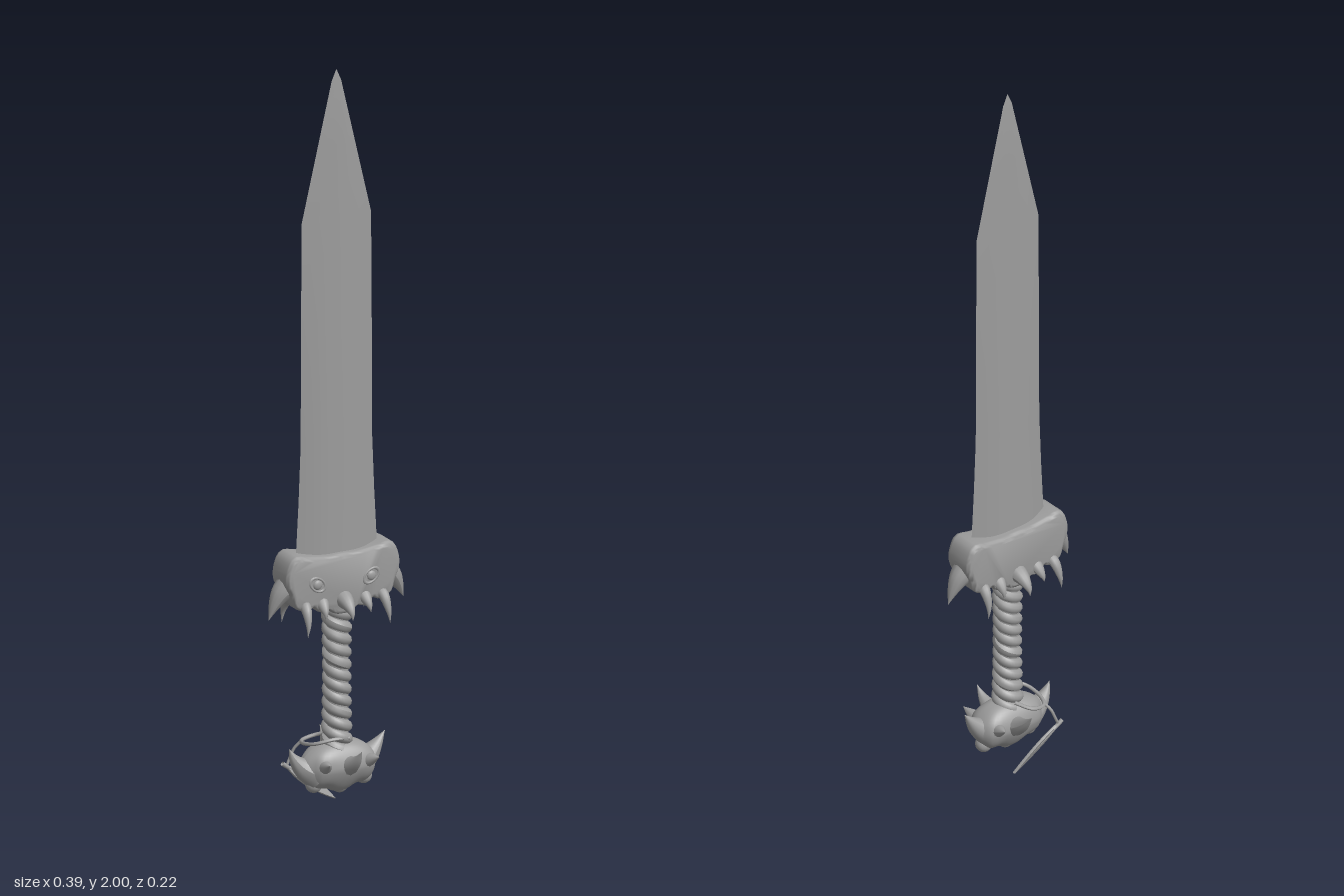
import * as THREE from 'three';
import { toCreasedNormals } from 'three/addons/utils/BufferGeometryUtils.js';

const CZ = 0.006; // depth of the sword's middle plane
const material = new THREE.MeshStandardMaterial({ color: 0x9c9c9c, side: THREE.DoubleSide });
const v = (p) => new THREE.Vector3(...p);

function add(group, name, geometry) {
  const mesh = new THREE.Mesh(geometry, material);
  mesh.name = name;
  group.add(mesh);
  return mesh;
}

// Tube along a smooth path whose radius follows a rule of t (0..1)
function taperTube(points, radius, steps = 12, sides = 12) {
  const curve = new THREE.CatmullRomCurve3(points.map(v));
  const geo = new THREE.TubeGeometry(curve, steps, 1, sides);
  const pos = geo.attributes.position, p = new THREE.Vector3();
  for (let i = 0; i <= steps; i++) {
    const c = curve.getPointAt(i / steps), r = radius(i / steps);
    for (let j = 0; j <= sides; j++) {
      const k = i * (sides + 1) + j;
      p.fromBufferAttribute(pos, k).sub(c).multiplyScalar(r).add(c);
      pos.setXYZ(k, p.x, p.y, p.z);
    }
  }
  geo.computeVertexNormals();
  return geo;
}

// Pointed horn; a higher swell gives a rounder one
const horn = (points, r, swell = 1.5) =>
  taperTube(points, (t) => Math.max(0.0004, r * (1 - Math.pow(t, swell))));

// Blade: lens-shaped cross-sections lofted from guard to tip
function bladeGeometry() {
  const section = [[1, 0], [0.62, 0.72], [0.3, 0.92], [0, 1], [-0.3, 0.92], [-0.62, 0.72],
    [-1, 0], [-0.62, -0.72], [-0.3, -0.92], [0, -1], [0.3, -0.92], [0.62, -0.72]];
  const levels = [[0.66, 0.119, 0.024], [0.72, 0.117, 0.023], [0.85, 0.11, 0.021], [1.0, 0.104, 0.019],
    [1.3, 0.103, 0.014], [1.6, 0.101, 0.009], [1.8, 0.054, 0.006], [1.97, 0.014, 0.003], [2.0, 0.001, 0.0005]];
  const n = section.length, pos = [], idx = [];
  levels.forEach(([y, w, t], i) => section.forEach(([x, z], j) => {
    pos.push(x * w, y, 0.008 + z * t);
    if (i === levels.length - 1) return;
    const a = i * n + j, b = i * n + (j + 1) % n;
    idx.push(a, a + n, b, b, a + n, b + n);
  }));
  const geo = new THREE.BufferGeometry();
  geo.setAttribute('position', new THREE.Float32BufferAttribute(pos, 3));
  geo.setIndex(idx);
  return toCreasedNormals(geo, 0.5);
}

// Guard: monster-head outline with a scalloped lower edge
function guardGeometry() {
  const half = [[0, 0.692], [0.05, 0.691], [0.1, 0.697], [0.135, 0.702], [0.15, 0.675], [0.152, 0.645], [0.14, 0.615],
    [0.13, 0.585], [0.105, 0.575], [0.085, 0.583], [0.062, 0.565], [0.04, 0.568], [0.02, 0.555], [0, 0.552]];
  const left = half.slice(1, -1).reverse().map(([x, y]) => [-x, y]);
  const outline = new THREE.SplineCurve([...half, ...left, half[0]].map((p) => new THREE.Vector2(...p)));
  const geo = new THREE.ExtrudeGeometry(new THREE.Shape(outline.getPoints(90)), {
    depth: 0.064, bevelThickness: 0.014, bevelSize: 0.012, bevelSegments: 4 });
  geo.translate(0, 0, CZ - 0.032);
  return toCreasedNormals(geo, 0.9);
}

// Pommel: squarish ellipsoid with soft lumps
function pommelGeometry() {
  const geo = new THREE.SphereGeometry(1, 40, 28), pos = geo.attributes.position;
  const soft = (a) => Math.sign(a) * Math.pow(Math.abs(a), 0.8);
  for (let i = 0; i < pos.count; i++) {
    const x = pos.getX(i), y = pos.getY(i), z = pos.getZ(i);
    const lump = 1 + 0.06 * Math.sin(x * 6 + 1) * Math.cos(z * 5) * (1 - y * y);
    const drop = y < 0 ? 1 + 0.08 * Math.cos(x * 9) : 1;
    pos.setXYZ(i, 0.004 + soft(x) * 0.103 * lump, 0.123 + y * 0.066 * drop,
      CZ + soft(z) * 0.058 * lump * (y < 0 ? 1 + 0.25 * y : 1));
  }
  geo.computeVertexNormals();
  return geo;
}

export function createModel() {
  const sword = new THREE.Group();
  sword.name = 'sword';
  add(sword, 'blade', bladeGeometry());

  const guard = new THREE.Group();
  guard.name = 'guard';
  sword.add(guard);
  add(guard, 'guardBody', guardGeometry());
  for (const s of [1, -1]) {
    // Side horns sweeping out and down
    add(guard, 'sideHorn', horn([[s * 0.135, 0.63, CZ], [s * 0.16, 0.61, CZ], [s * 0.18, 0.58, CZ],
      [s * 0.196, 0.543, CZ]], 0.036, 1.15));
    // Slanted almond eye, front only
    const eye = new THREE.Group();
    eye.name = 'eye';
    add(eye, 'eyelid', new THREE.TorusGeometry(0.017, 0.0035, 8, 24)).scale.set(1.4, 0.95, 1);
    add(eye, 'eyeball', new THREE.SphereGeometry(0.013, 16, 12)).scale.set(1, 1, 0.5);
    eye.position.set(s * 0.078, 0.633, CZ + 0.045);
    eye.rotation.z = s * 0.65;
    guard.add(eye);
  }
  // Teeth curling outward under the front and back faces: x, reach in z, tip height, radius
  const teeth = [[0, 0.09, 0.537, 0.026], [0.062, 0.066, 0.542, 0.02], [-0.062, 0.066, 0.542, 0.02],
    [0.113, 0.07, 0.505, 0.016], [-0.113, 0.07, 0.505, 0.016]];
  for (const f of [1, -1]) {
    for (const [x, reach, tip, r] of teeth) {
      add(guard, 'tooth', horn([[x * 0.97, 0.585, CZ + f * 0.025], [x, 0.573, CZ + f * (reach * 0.7)],
        [x * 1.03, (0.57 + tip) / 2, CZ + f * reach * 0.96], [x * 1.06, tip, CZ + f * reach]], r));
    }
  }

  // Grip: a core wrapped in twisted strands
  const grip = new THREE.Group();
  grip.name = 'grip';
  sword.add(grip);
  const core = add(grip, 'gripCore', new THREE.CylinderGeometry(0.03, 0.03, 0.4, 24));
  core.position.set(0.002, 0.37, CZ);
  const strands = 2, turns = 6, bottom = 0.17, top = 0.57;
  for (let k = 0; k < strands; k++) {
    const path = [];
    for (let i = 0; i <= 72; i++) {
      const t = i / 72, a = -t * Math.PI * 2 * turns + (k / strands) * Math.PI * 2;
      const r = 0.023 + 0.004 * Math.pow(2 * t - 1, 2);
      path.push([0.002 + r * Math.sin(a), bottom + t * (top - bottom), CZ + r * Math.cos(a)]);
    }
    add(grip, 'gripStrand', taperTube(path, () => 0.0155, 160, 10));
  }

  // Pommel with four large horns and small studs
  const pommel = new THREE.Group();
  pommel.name = 'pommel';
  sword.add(pommel);
  add(pommel, 'pommelBody', pommelGeometry());
  const horns = [
    [[0.06, 0.115, CZ], [0.092, 0.132, CZ], [0.118, 0.158, CZ], [0.142, 0.19, CZ]],
    [[-0.06, 0.11, CZ], [-0.095, 0.127, CZ], [-0.12, 0.153, CZ], [-0.136, 0.185, CZ]],
    [[0.012, 0.122, 0.025], [0.014, 0.136, 0.062], [0.016, 0.156, 0.09], [0.018, 0.183, 0.11]],
    [[0.012, 0.122, -0.015], [0.014, 0.138, -0.055], [0.017, 0.161, -0.087], [0.019, 0.19, -0.114]],
  ];
  horns.forEach((points, i) => add(pommel, 'pommelHorn', horn(points, i < 2 ? 0.042 : 0.034, 1.1)));
  for (const [x, z] of [[-0.058, 1], [0.075, 1], [0.07, -1]]) {
    add(pommel, 'pommelStud', horn([[x * 0.9, 0.13, CZ + z * 0.03], [x, 0.142, CZ + z * 0.058],
      [x * 1.08, 0.152, CZ + z * 0.082]], 0.021));
  }
  for (const [x, y] of [[-0.065, 0.078], [0.01, 0.067], [0.08, 0.08]]) {
    add(pommel, 'pommelKnuckle', new THREE.SphereGeometry(0.022, 16, 12)).position.set(x, y, CZ);
  }

  // Cord slung round the foot of the grip, falling behind the pommel
  const charm = new THREE.Group();
  charm.name = 'charm';
  sword.add(charm);
  add(charm, 'cordLoop', taperTube([[0.02, 0.2, 0.04], [-0.03, 0.203, 0.042], [-0.068, 0.192, 0.02],
    [-0.076, 0.18, -0.03], [-0.058, 0.176, -0.066], [-0.02, 0.182, -0.068], [0.01, 0.195, -0.035]],
  () => 0.005, 48, 8));
  add(charm, 'cord', taperTube([[-0.066, 0.176, -0.058], [-0.08, 0.155, -0.07], [-0.09, 0.13, -0.074],
    [-0.1, 0.108, -0.074]], () => 0.004, 16, 8));

  // Feather: thin leaf with a quill, hanging aslant at the back
  const leaf = new THREE.Shape();
  leaf.moveTo(0, 0);
  leaf.bezierCurveTo(0.022, -0.03, 0.02, -0.1, 0, -0.168);
  leaf.bezierCurveTo(-0.018, -0.1, -0.02, -0.04, 0, 0);
  const feather = new THREE.Group();
  feather.name = 'feather';
  add(feather, 'featherVane', new THREE.ExtrudeGeometry(leaf, {
    depth: 0.003, bevelThickness: 0.002, bevelSize: 0.001, bevelSegments: 1 }));
  add(feather, 'featherQuill', taperTube([[0, 0.015, 0.001], [0.002, -0.07, 0], [0, -0.16, 0.001]],
    (t) => 0.005 * (1 - t) + 0.001));
  feather.position.set(-0.1, 0.107, -0.075);
  feather.rotation.set(-0.15, 0.35, 0.9, 'XZY');
  charm.add(feather);
  return sword;
}
